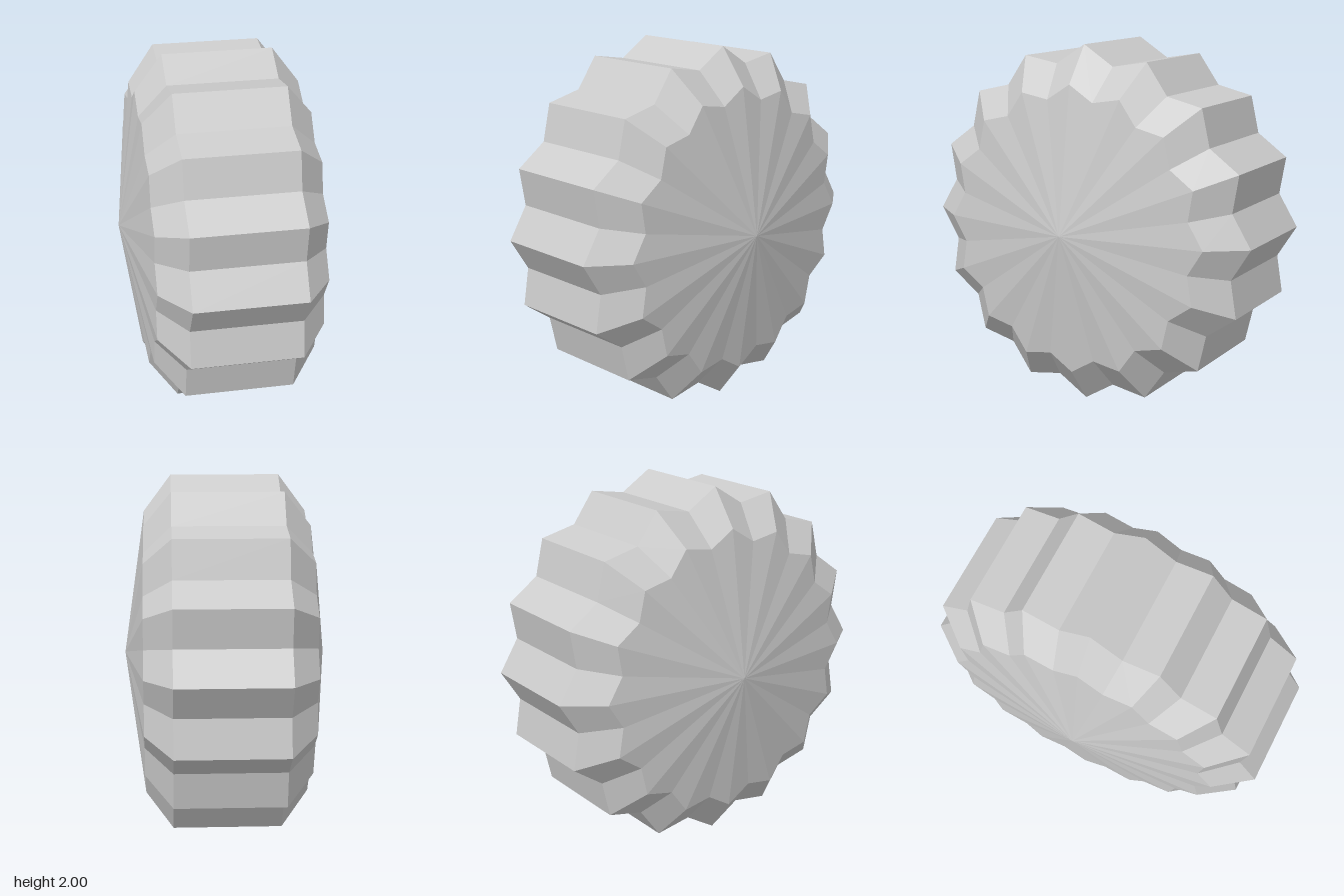
import * as THREE from 'three';

const TEETH = 16;
const VALLEY = 0.907; // valley radius relative to tooth tip

// Half section of the wheel: radius, position along the axle
const PROFILE = [
  [0, -0.565], [0.8, -0.45], [1, -0.3],
  [1, 0.3], [0.8, 0.45], [0, 0.565],
].map(([r, a]) => new THREE.Vector2(r, a));

export function createModel() {
  const group = new THREE.Group();
  group.name = 'toothedWheel';

  // Revolve the section, then pull every second meridian in to form the teeth
  const geometry = new THREE.LatheGeometry(PROFILE, TEETH * 2);
  const pos = geometry.attributes.position;
  for (let i = 0; i < pos.count; i++) {
    const meridian = Math.floor(i / PROFILE.length);
    const k = meridian % 2 ? VALLEY : 1;
    pos.setXYZ(i, pos.getX(i) * k, pos.getY(i), pos.getZ(i) * k);
  }

  // Lay the axle along x and stand the wheel on the ground
  geometry.rotateZ(-Math.PI / 2);
  geometry.translate(0, 1, 0);
  geometry.computeVertexNormals();

  const wheel = new THREE.Mesh(
    geometry,
    new THREE.MeshStandardMaterial({ color: 0xcccccc, flatShading: true }),
  );
  wheel.name = 'wheelBody';
  group.add(wheel);
  return group;
}
